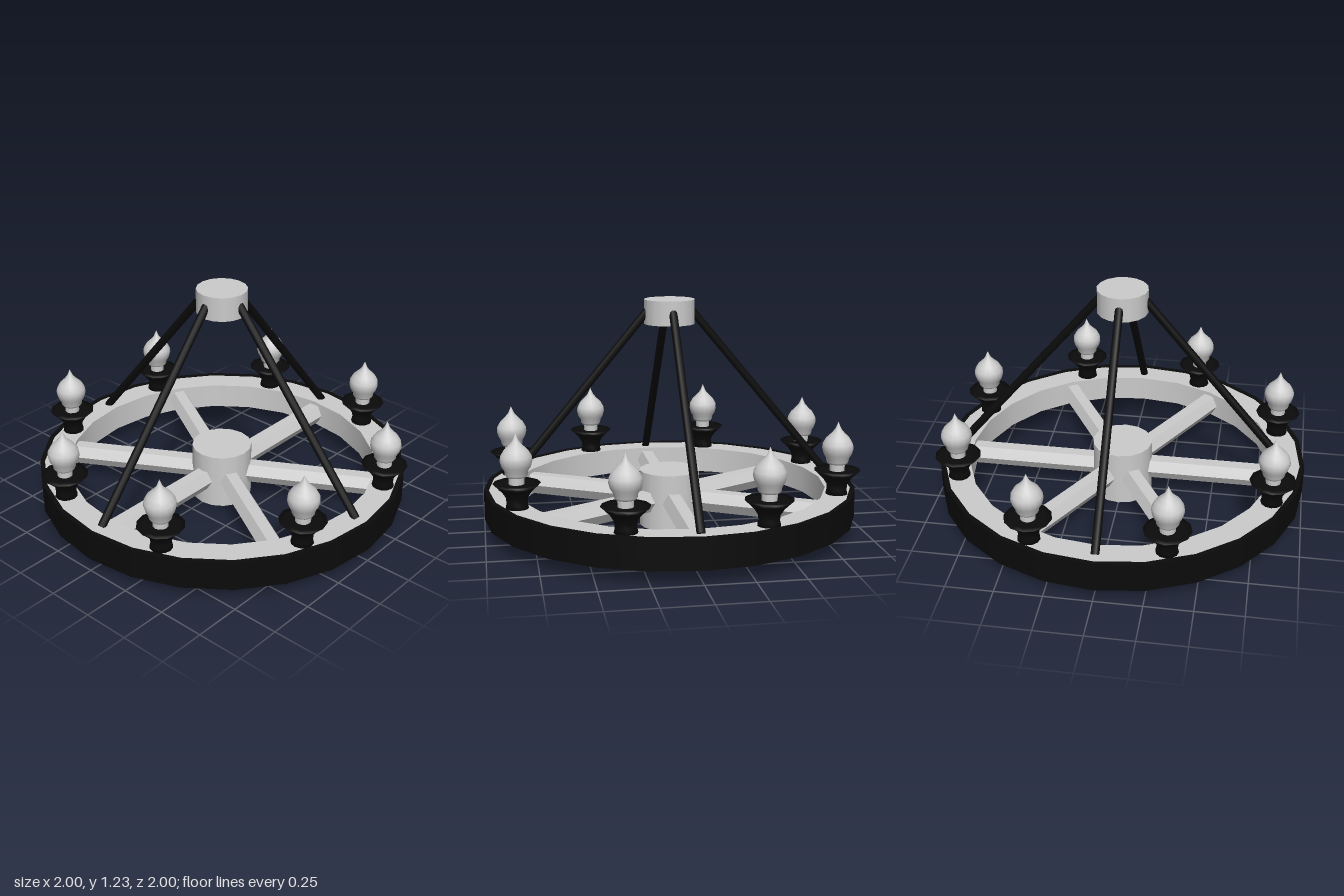
import * as THREE from 'three';

const grey = new THREE.MeshStandardMaterial({ color: 0xcccccc });
const greyFlat = new THREE.MeshStandardMaterial({ color: 0xcccccc, flatShading: true });
const black = new THREE.MeshStandardMaterial({ color: 0x0b0b0b });

function add(parent, name, geometry, material, x = 0, y = 0, z = 0) {
  const mesh = new THREE.Mesh(geometry, material);
  mesh.name = name;
  mesh.position.set(x, y, z);
  parent.add(mesh);
  return mesh;
}

// Lathe from [radius, height] pairs
function lathe(points, segments) {
  return new THREE.LatheGeometry(points.map(p => new THREE.Vector2(p[0], p[1])), segments);
}

// Rectangular-section ring, with smooth walls and sharp rims
function addRing(parent, name, inner, outer, y0, y1, material) {
  const ring = new THREE.Group();
  ring.name = name;
  parent.add(ring);
  add(ring, 'outerWall', lathe([[outer, y0], [outer, y1]], 24), material);
  add(ring, 'innerWall', lathe([[inner, y1], [inner, y0]], 24), material);
  add(ring, 'topFace', lathe([[outer, y1], [inner, y1]], 24), material);
  add(ring, 'bottomFace', lathe([[inner, y0], [outer, y0]], 24), material);
}

// Straight bar between two points
function addBar(parent, name, a, b, radius, sides, material) {
  const dir = b.clone().sub(a);
  const bar = add(parent, name, new THREE.CylinderGeometry(radius, radius, dir.length(), sides), material);
  bar.position.copy(a).add(b).multiplyScalar(0.5);
  bar.quaternion.setFromUnitVectors(new THREE.Vector3(0, 1, 0), dir.normalize());
  return bar;
}

export function createModel() {
  const model = new THREE.Group();
  model.name = 'wheelChandelier';

  // Wheel rim with its iron band
  addRing(model, 'rim', 0.84, 0.98, 0.08, 0.225, grey);
  addRing(model, 'ironBand', 0.975, 1, 0.07, 0.23, black);

  // Hub and ceiling cap
  add(model, 'hub', new THREE.CylinderGeometry(0.163, 0.163, 0.305, 16), grey, 0, 0.1525, 0);
  add(model, 'ceilingCap', new THREE.CylinderGeometry(0.135, 0.135, 0.13, 16), grey, 0, 1.165, 0);

  // Six hexagonal spokes
  for (let i = 0; i < 6; i++) {
    const spoke = new THREE.Group();
    spoke.name = 'spoke';
    spoke.rotation.y = Math.PI / 6 + i * Math.PI / 3;
    addBar(spoke, 'spokeBar', new THREE.Vector3(0.1, 0.15, 0), new THREE.Vector3(0.87, 0.15, 0), 0.062, 6, greyFlat);
    model.add(spoke);
  }

  // Four hanging rods
  for (let i = 0; i < 4; i++) {
    const rod = new THREE.Group();
    rod.name = 'hangingRod';
    rod.rotation.y = i * Math.PI / 2;
    addBar(rod, 'rodBar', new THREE.Vector3(0.11, 1.18, 0), new THREE.Vector3(0.91, 0.22, 0), 0.022, 10, black);
    model.add(rod);
  }

  // Eight lights on flared holders
  const holderShape = lathe([[0, 0.22], [0.06, 0.22], [0.053, 0.25], [0.056, 0.28], [0.075, 0.31],
    [0.1, 0.335], [0.122, 0.355], [0.09, 0.352], [0, 0.35]], 12);
  const stemShape = new THREE.CylinderGeometry(0.04, 0.04, 0.06, 12);
  const bulbShape = lathe([[0, 0.385], [0.05, 0.388], [0.058, 0.4], [0.06, 0.418], [0.074, 0.44],
    [0.082, 0.47], [0.079, 0.495], [0.062, 0.525], [0.036, 0.55], [0.017, 0.572], [0.007, 0.595], [0, 0.612]], 16);
  for (let i = 0; i < 8; i++) {
    const angle = (i + 0.5) * Math.PI / 4;
    const light = new THREE.Group();
    light.name = 'light';
    light.position.set(0.905 * Math.cos(angle), 0, 0.905 * Math.sin(angle));
    add(light, 'holder', holderShape, black);
    add(light, 'stem', stemShape, grey, 0, 0.37, 0);
    add(light, 'bulb', bulbShape, grey);
    model.add(light);
  }
  return model;
}
